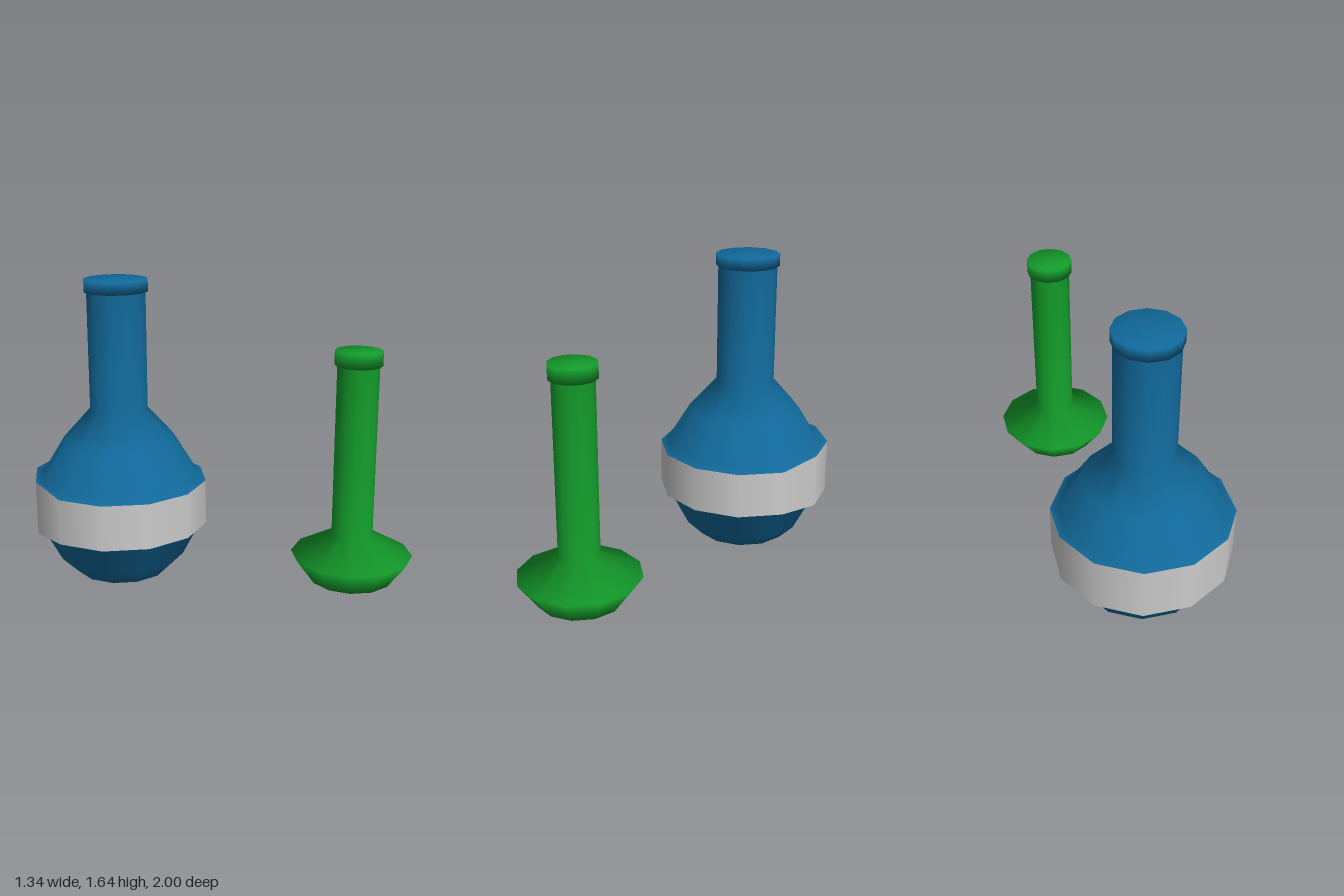
import * as THREE from 'three';

const SIDES = 12;
const material = (color) => new THREE.MeshStandardMaterial({ color });

// Smooth twelve-sided solid of revolution from [radius, height] pairs, bottom to top
function turned(name, profile, mat) {
  const points = profile.map(([r, y]) => new THREE.Vector2(r, y));
  const mesh = new THREE.Mesh(new THREE.LatheGeometry(points, SIDES), mat);
  mesh.name = name;
  return mesh;
}

// Widen the band's rim upwards and downwards around the back of the flask
function flareBack(mesh) {
  const pos = mesh.geometry.attributes.position;
  for (let i = 0; i < pos.count; i++) {
    const x = pos.getX(i), y = pos.getY(i), z = pos.getZ(i);
    if (Math.hypot(x, z) > 0.47 && z < -0.2) pos.setY(i, y > 0.4 ? y + 0.032 : y - 0.016);
  }
  return mesh;
}

// Flat-topped stopper with a slight overhang
function stopper(r, y0, y1, mat) {
  return turned('stopper', [[0, y0], [r, y0], [r, y1], [0, y1]], mat);
}

function largeFlask() {
  const blue = material(0x11699a);
  const flask = new THREE.Group();
  flask.name = 'largeFlask';
  flask.add(
    flareBack(turned('lowerBody', [[0, 0], [0.26, 0], [0.35, 0.09], [0.445, 0.272], [0.482, 0.282]], blue)),
    flareBack(turned('labelBand', [[0.482, 0.282], [0.482, 0.533]], material(0xcccccc))),
    flareBack(turned('upperBodyAndNeck', [[0.482, 0.533], [0.44, 0.555], [0.315, 0.76], [0.162, 0.93], [0.162, 1.58]], blue)),
    stopper(0.175, 1.58, 1.645, blue)
  );
  flask.position.set(-0.19, 0, -0.518);
  return flask;
}

function smallFlask() {
  const green = material(0x139a2a);
  const flask = new THREE.Group();
  flask.name = 'smallFlask';
  flask.add(
    turned('bodyAndNeck', [[0, 0.06], [0.225, 0.06], [0.327, 0.2], [0.11, 0.322], [0.11, 1.243]], green),
    stopper(0.125, 1.243, 1.32, green)
  );
  flask.position.set(0.342, 0, 0.673);
  return flask;
}

export function createModel() {
  const model = new THREE.Group();
  model.name = 'flasks';
  model.add(largeFlask(), smallFlask());
  return model;
}
